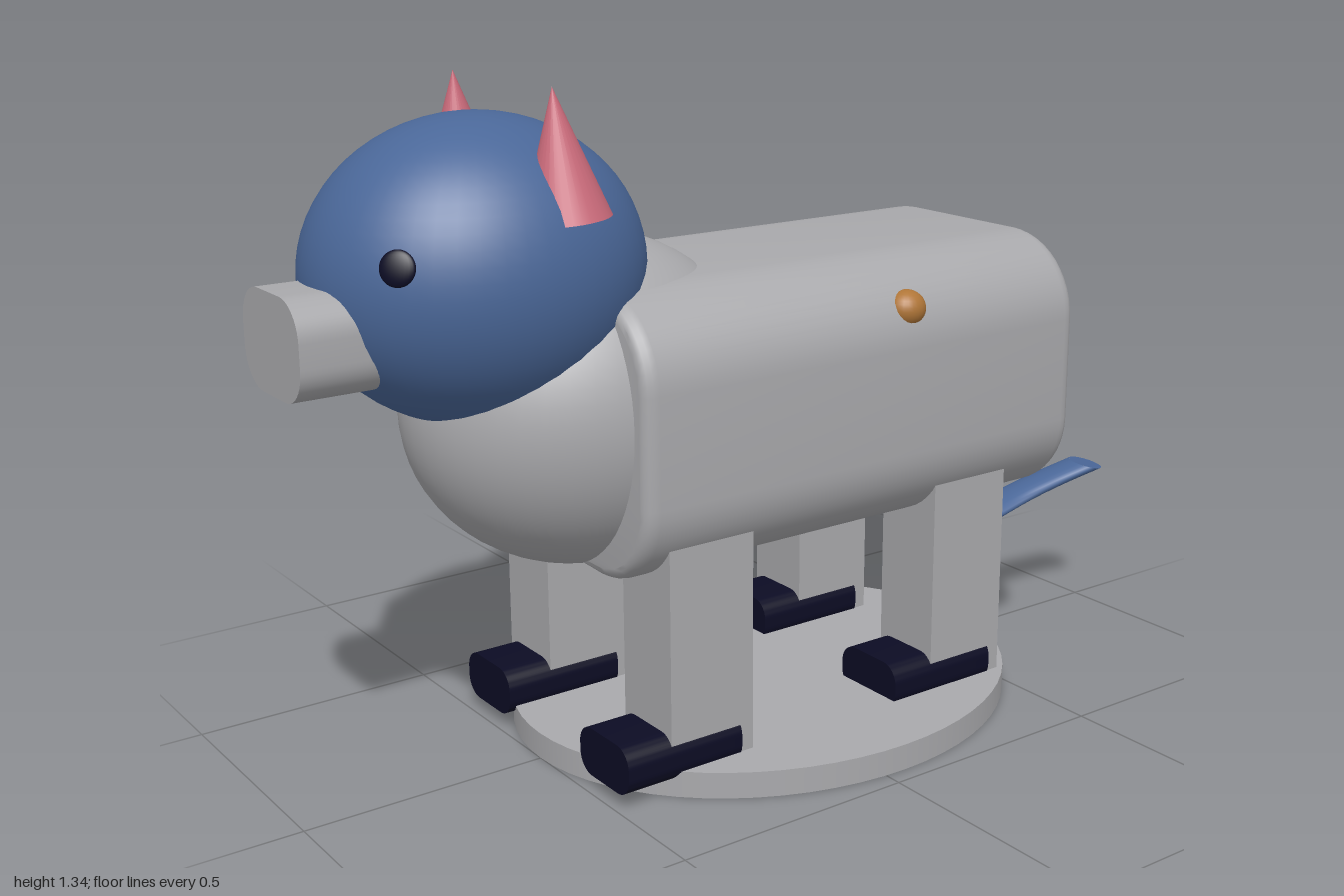
import * as THREE from 'three';
import { toCreasedNormals } from 'three/addons/utils/BufferGeometryUtils.js';

const mat = (name, color) => {
  const m = new THREE.MeshStandardMaterial({ color });
  m.name = name;
  return m;
};

// Rounded rectangle as a list of points, corner by corner, counter-clockwise
function roundedRect(hw, hh, r, steps = 10) {
  const pts = [];
  [[1, -1], [1, 1], [-1, 1], [-1, -1]].forEach(([sx, sy], c) => {
    for (let i = 0; i <= steps; i++) {
      const a = (c - 1 + i / steps) * Math.PI / 2;
      pts.push(new THREE.Vector2(sx * (hw - r) + r * Math.cos(a), sy * (hh - r) + r * Math.sin(a)));
    }
  });
  return pts;
}

// Rounded bar running along z, centred on the origin
function bar(w, h, d, r) {
  const geo = new THREE.ExtrudeGeometry(new THREE.Shape(roundedRect(w / 2, h / 2, r)), { depth: d, bevelEnabled: false });
  geo.translate(0, 0, -d / 2);
  return toCreasedNormals(geo, 0.6);
}

// Bevelled trunk; its right wall slants in to a small ledge above the lower corner
function trunkGeometry() {
  const hw = 0.304, hh = 0.253, r = 0.148, gap = 0.01, bevel = 0.022, thick = 0.03;
  const pts = roundedRect(hw, hh, r, 12);
  const ledgeY = -hh + r + gap, stepX = -hw + r + gap;
  pts.splice(39, 0, new THREE.Vector2(-hw, ledgeY));
  pts.push(new THREE.Vector2(stepX, -hh));
  const geo = new THREE.ExtrudeGeometry(new THREE.Shape(pts), {
    depth: 1.065 - 2 * thick, bevelSize: bevel, bevelThickness: thick, bevelSegments: 4
  });
  const p = geo.attributes.position;
  for (let i = 0; i < p.count; i++) {
    if (p.getX(i) < -0.29 && Math.abs(p.getY(i) - ledgeY) < 0.003) p.setX(i, -hw);
    if (p.getY(i) < -0.24 && Math.abs(p.getX(i) - stepX) < 0.003) p.setY(i, -hh);
  }
  geo.translate(0, 0.693, -0.61 + thick);
  return toCreasedNormals(geo, 0.6);
}

export function createModel() {
  const model = new THREE.Group();
  model.name = 'animalFigure';
  const grey = mat('grey', 0xa9a9ac);
  const blue = mat('blue', 0x4a6798);
  const pink = mat('pink', 0xcb6b7b);
  const brown = mat('brown', 0xb07638);
  const navy = mat('navy', 0x0c0c24);

  const add = (name, geo, material, pos = [0, 0, 0], scale = [1, 1, 1], parent = model) => {
    const m = new THREE.Mesh(geo, material);
    m.name = name;
    m.position.set(...pos);
    m.scale.set(...scale);
    parent.add(m);
    return m;
  };
  const ball = new THREE.SphereGeometry(1, 48, 32);

  // Oval base, trunk, chest and head
  add('base', new THREE.CylinderGeometry(1, 1, 0.053, 64), grey, [0, 0.0265, -0.047], [0.465, 1, 0.547]);
  add('trunk', trunkGeometry(), grey);
  add('chest', ball, grey, [0, 0.725, 0.385], [0.295, 0.32, 0.36]);
  add('head', ball, blue, [0, 1.0, 0.604], [0.277, 0.283, 0.324]);
  add('snout', bar(0.234, 0.184, 0.28, 0.07), grey, [0, 0.915, 0.86]);

  const legGeo = new THREE.BoxGeometry(0.158, 0.5, 0.19);
  const footGeo = bar(0.17, 0.098, 0.26, 0.04);
  const earGeo = new THREE.ConeGeometry(0.08, 0.23, 32);
  const small = new THREE.SphereGeometry(1, 24, 16);
  for (const s of [1, -1]) {
    const side = s > 0 ? 'left' : 'right';

    // Legs and feet
    for (const [end, z] of [['Front', 0.295], ['Back', -0.353]]) {
      add(side + end + 'Leg', legGeo, grey, [s * 0.22, 0.3, z]);
      add(side + end + 'Foot', footGeo, navy, [s * 0.22, 0.079, z + 0.065]);
    }

    // Ears, leaning slightly inward and forward
    const ear = add(side + 'Ear', earGeo, pink, [s * 0.183, 1.222, 0.531]);
    ear.rotation.set(0.08, 0, s * 0.043);

    // Eyes lie flat on the head
    const eye = add(side + 'Eye', small, navy, [s * 0.177, 1.057, 0.844], [0.032, 0.032, 0.01]);
    eye.lookAt(s * 0.177 + s * 2.3, 1.057 + 0.71, 0.844 + 2.28);

    // Flank spots
    add(side + 'Spot', small, brown, [s * 0.29, 0.873, -0.175], [0.038, 0.037, 0.041]);
  }

  // Flattened, curving tail with closed ends
  const flat = 0.27, radius = 0.046;
  const tail = new THREE.Group();
  tail.name = 'tail';
  tail.scale.y = flat;
  model.add(tail);
  const path = new THREE.CatmullRomCurve3([
    [0, 0.243, -0.57], [0, 0.266, -0.67], [0.002, 0.295, -0.785], [0.022, 0.323, -0.87], [0.053, 0.353, -0.955]
  ].map(([x, y, z]) => new THREE.Vector3(x, y / flat, z)));
  add('tailTube', new THREE.TubeGeometry(path, 32, radius, 20), blue, [0, 0, 0], [1, 1, 1], tail);
  for (const [t, dir] of [[0, -1], [1, 1]]) {
    const cap = add('tailCap', new THREE.CircleGeometry(radius, 20), blue, path.getPointAt(t).toArray(), [1, 1, 1], tail);
    cap.quaternion.setFromUnitVectors(new THREE.Vector3(0, 0, 1), path.getTangentAt(t).multiplyScalar(dir));
  }
  return model;
}
